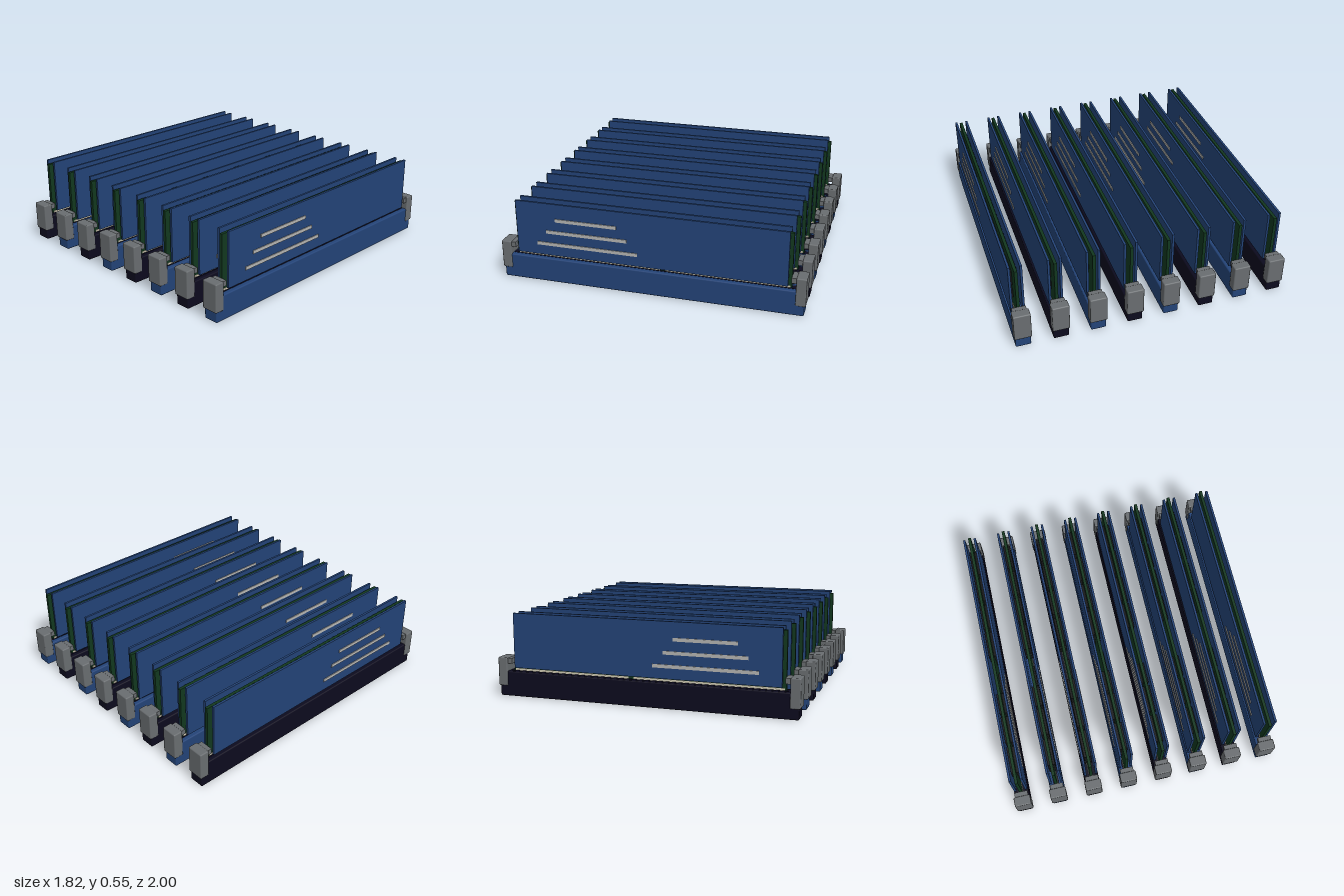
import * as THREE from 'three';
import { RoundedBoxGeometry } from 'three/addons/geometries/RoundedBoxGeometry.js';

const mat = (name, color) => {
  const m = new THREE.MeshStandardMaterial({ color });
  m.name = name;
  return m;
};

export function createModel() {
  const blue = mat('blue', 0x234377);
  const black = mat('black', 0x0c0a1e);
  const green = mat('board green', 0x12381f);
  const grey = mat('latch grey', 0x696d70);
  const silver = mat('stripe silver', 0xb4b4b2);
  const cream = mat('contact cream', 0xd2ccb4);
  const chipBlack = mat('chip black', 0x141416);

  // Box given by its ranges along x, y and z; r rounds the edges
  const box = (parent, name, material, [x0, x1], [y0, y1], [z0, z1], r = 0) => {
    const s = [Math.abs(x1 - x0), y1 - y0, Math.abs(z1 - z0)];
    const g = r ? new RoundedBoxGeometry(...s, 2, r) : new THREE.BoxGeometry(...s);
    const mesh = new THREE.Mesh(g, material);
    mesh.name = name;
    mesh.position.set((x0 + x1) / 2, (y0 + y1) / 2, (z0 + z1) / 2);
    parent.add(mesh);
  };

  const memoryModule = (socketMaterial) => {
    const g = new THREE.Group();
    g.name = 'memoryModule';

    // Socket with a dark slot, and a latch at each end
    box(g, 'socket', socketMaterial, [-0.05, 0.05], [0, 0.165], [-0.99, 0.99], 0.008);
    box(g, 'slot', black, [-0.02, 0.02], [0.16, 0.167], [-0.93, 0.93]);
    for (const s of [-1, 1]) {
      box(g, 'latch', grey, [-0.056, 0.056], [0.068, 0.256], [s * 0.935, s], 0.008);
      box(g, 'latchArm', grey, [-0.045, 0.045], [0.215, 0.25], [s * 0.905, s * 0.94]);
    }

    // Circuit board with contact strips split at the key
    box(g, 'circuitBoard', green, [-0.01, 0.01], [0.1, 0.53], [-0.905, 0.905]);
    for (const s of [-1, 1]) {
      box(g, 'contacts', cream, [s * 0.009, s * 0.013], [0.11, 0.18], [-0.067, 0.895]);
      box(g, 'contacts', cream, [s * 0.009, s * 0.013], [0.11, 0.18], [-0.895, -0.103]);

      // Two rows of memory chips
      for (const z of [-0.73, -0.52, -0.31, -0.1, 0.335, 0.52, 0.73]) {
        const half = z === 0.335 ? 0.07 : 0.09;
        for (const y of [[0.26, 0.32], [0.36, 0.465]])
          box(g, 'memoryChip', chipBlack, [s * 0.009, s * 0.025], y, [z - half, z + half]);
      }

      // Heat spreader plate with three stripes on its outer face
      box(g, 'heatSpreader', blue, [s * 0.03, s * 0.045], [0.19, 0.55], [-0.885, 0.885]);
      [[0.27, 0.07, 0.745], [0.355, 0.138, 0.68], [0.44, 0.205, 0.615]].forEach(([y, z0, z1]) =>
        box(g, 'spreaderStripe', silver, [s * 0.044, s * 0.05], [y - 0.011, y + 0.011], [z0, z1]));
    }

    // Controller chip on one side
    box(g, 'controllerChip', chipBlack, [0.009, 0.022], [0.29, 0.4], [0.1, 0.24]);
    return g;
  };

  // Eight modules, with black and blue sockets in turn
  const model = new THREE.Group();
  model.name = 'memoryBank';
  for (let i = 0; i < 8; i++) {
    const m = memoryModule(i % 2 ? blue : black);
    m.position.x = (i - 3.5) * 0.244;
    model.add(m);
  }
  return model;
}
